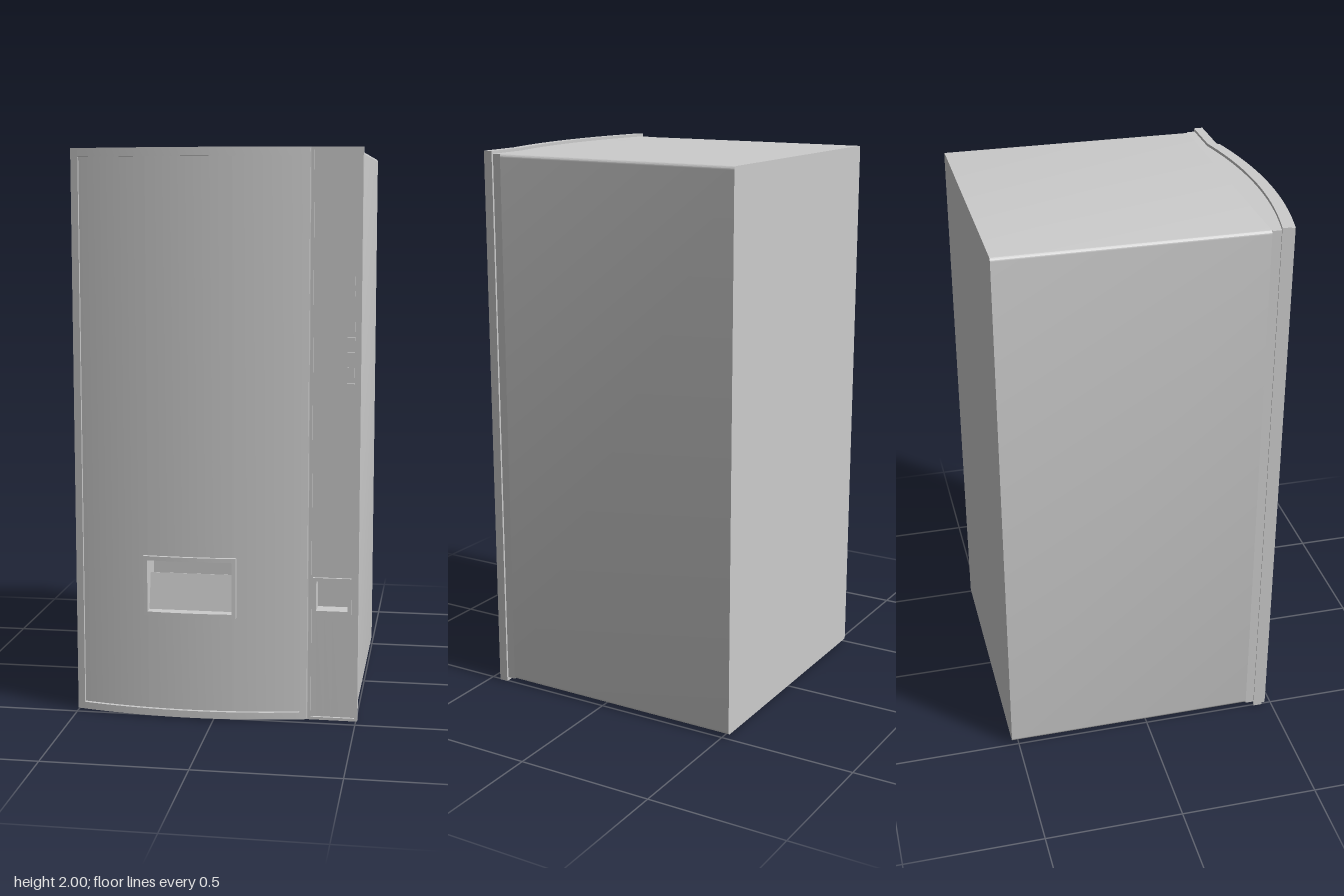
import * as THREE from 'three';
import { toCreasedNormals, mergeGeometries } from 'three/addons/utils/BufferGeometryUtils.js';

const grey = new THREE.MeshStandardMaterial({ color: 0xcccccc });

// Plan curve of the front: a bowed door, then a flat column on the left side
const DOOR_EDGE = 0.33;
const bow = (x) => 0.43 + (x < DOOR_EDGE ? 0.048 * (1 - ((x + 0.088) / 0.418) ** 2) : 0);
const offset = (d) => (x) => bow(x) + d;
const flat = (z) => () => z;

// Upright block whose back and front faces follow plan curves
function bowedBlock([x0, x1, y0, y1], back, front) {
  const n = Math.max(1, Math.ceil((x1 - x0) / 0.035));
  const pts = [];
  for (let i = 0; i <= n; i++) {
    const x = x0 + ((x1 - x0) * i) / n;
    pts.push(new THREE.Vector2(x, -front(x)));
  }
  for (let i = n; i >= 0; i--) {
    const x = x0 + ((x1 - x0) * i) / n;
    pts.push(new THREE.Vector2(x, -back(x)));
  }
  const g = new THREE.ExtrudeGeometry(new THREE.Shape(pts), { depth: y1 - y0, bevelEnabled: false });
  g.rotateX(-Math.PI / 2).translate(0, y0, 0);
  return toCreasedNormals(g, 0.5);
}

// The same block with a rectangular opening
function bowedFrame([x0, x1, y0, y1], [a, b, c, d], back, front) {
  return mergeGeometries([
    bowedBlock([x0, a, y0, y1], back, front),
    bowedBlock([b, x1, y0, y1], back, front),
    bowedBlock([a, b, y0, c], back, front),
    bowedBlock([a, b, d, y1], back, front),
  ]);
}

const inset = ([x0, x1, y0, y1], t) => [x0 + t, x1 - t, y0 + t, y1 - t];

export function createModel() {
  const group = new THREE.Group();
  const add = (name, geometry) => {
    const mesh = new THREE.Mesh(geometry, grey);
    mesh.name = name;
    group.add(mesh);
    return mesh;
  };

  const trayRim = [-0.25, 0.08, 0.37, 0.585];
  const trayHole = inset(trayRim, 0.015);
  const coinRim = [0.345, 0.48, 0.385, 0.515];
  const coinHole = inset(coinRim, 0.012);
  const door = [-0.505, DOOR_EDGE, 0, 2];
  const column = [DOOR_EDGE, 0.505, 0, 2];

  // Cabinet with softly rounded long edges
  const w = 0.497, y0 = 0.013, y1 = 1.99, r = 0.012;
  const s = new THREE.Shape();
  s.moveTo(-w + r, y0);
  s.lineTo(w - r, y0);
  s.quadraticCurveTo(w, y0, w, y0 + r);
  s.lineTo(w, y1 - r);
  s.quadraticCurveTo(w, y1, w - r, y1);
  s.lineTo(-w + r, y1);
  s.quadraticCurveTo(-w, y1, -w, y1 - r);
  s.lineTo(-w, y0 + r);
  s.quadraticCurveTo(-w, y0, -w + r, y0);
  const cabinet = new THREE.ExtrudeGeometry(s, { depth: 0.925, bevelEnabled: false, curveSegments: 4 });
  cabinet.translate(0, 0, -0.525);
  add('cabinet', toCreasedNormals(cabinet, 0.6));

  // Bowed front of the cabinet, open behind the tray and the coin return
  add('cabinetFrontDoorSide', bowedFrame([-w, DOOR_EDGE, y0, y1], trayHole, flat(0.4), offset(0.001)));
  add('cabinetFrontColumnSide', bowedFrame([DOOR_EDGE, w, y0, y1], coinHole, flat(0.4), offset(0.001)));

  // Door panel and its raised border
  add('doorPanel', bowedFrame(door, trayHole, offset(0), offset(0.033)));
  const border = [-0.5, DOOR_EDGE - 0.003, 0.005, 1.995];
  add('doorBorder', bowedFrame(border, inset(border, 0.025), offset(0.033), offset(0.046)));

  // Control column with a thin lip
  add('controlColumn', bowedFrame(column, coinHole, offset(0), offset(0.024)));
  add('columnLip', bowedFrame(column, inset(column, 0.01), offset(0.024), offset(0.033)));

  // Dispensing tray: raised rim and a tilted flap in the opening
  add('trayRim', bowedFrame(trayRim, trayHole, offset(0.033), offset(0.046)));
  const flap = add('trayFlap', new THREE.BoxGeometry(0.3, 0.13, 0.01));
  flap.position.set(-0.085, 0.448, 0.465);
  flap.rotation.x = -0.2;

  // Coin return rim
  add('coinReturnRim', bowedFrame(coinRim, coinHole, offset(0.024), offset(0.034)));

  // Row of selection buttons
  for (let i = 0; i < 8; i++) {
    const button = add('selectionButton', new THREE.BoxGeometry(0.026, 0.034, 0.016));
    button.position.set(0.47, 1.185 + i * 0.0525, 0.457);
  }
  return group;
}
